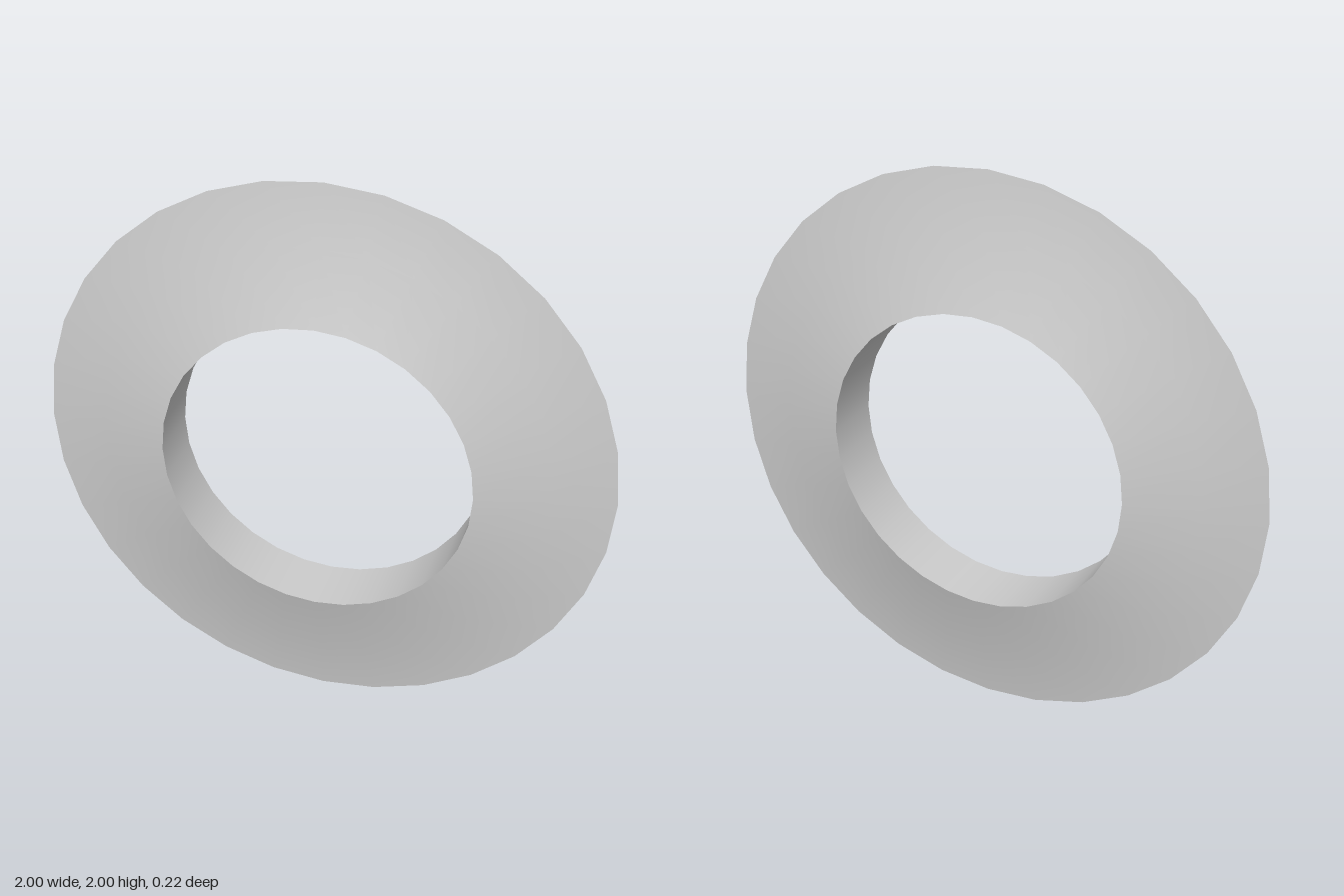
import * as THREE from 'three';

const SEGMENTS = 32;
const INNER = 0.543, KNEE = 0.79, OUTER = 1;
const HALF_DEPTH = 0.108, KNEE_DEPTH = 0.034;

export function createModel() {
  const group = new THREE.Group();
  group.name = 'ring';
  const material = new THREE.MeshStandardMaterial({ color: 0xcccccc });

  // Each surface is its own lathe, so the edges between them stay sharp
  const addLathe = (name, profile) => {
    const points = profile.map(([r, d]) => new THREE.Vector2(r, d));
    const geometry = new THREE.LatheGeometry(points, SEGMENTS);
    geometry.rotateX(Math.PI / 2); // spin axis to z
    geometry.translate(0, 1, 0);
    const mesh = new THREE.Mesh(geometry, material);
    mesh.name = name;
    group.add(mesh);
  };

  // Tapered faces meeting in a sharp outer rim
  addLathe('backFace', [[INNER, -HALF_DEPTH], [KNEE, -KNEE_DEPTH], [OUTER, 0]]);
  addLathe('frontFace', [[OUTER, 0], [KNEE, KNEE_DEPTH], [INNER, HALF_DEPTH]]);

  // Straight wall of the central hole
  addLathe('innerWall', [[INNER, HALF_DEPTH], [INNER, -HALF_DEPTH]]);

  return group;
}
